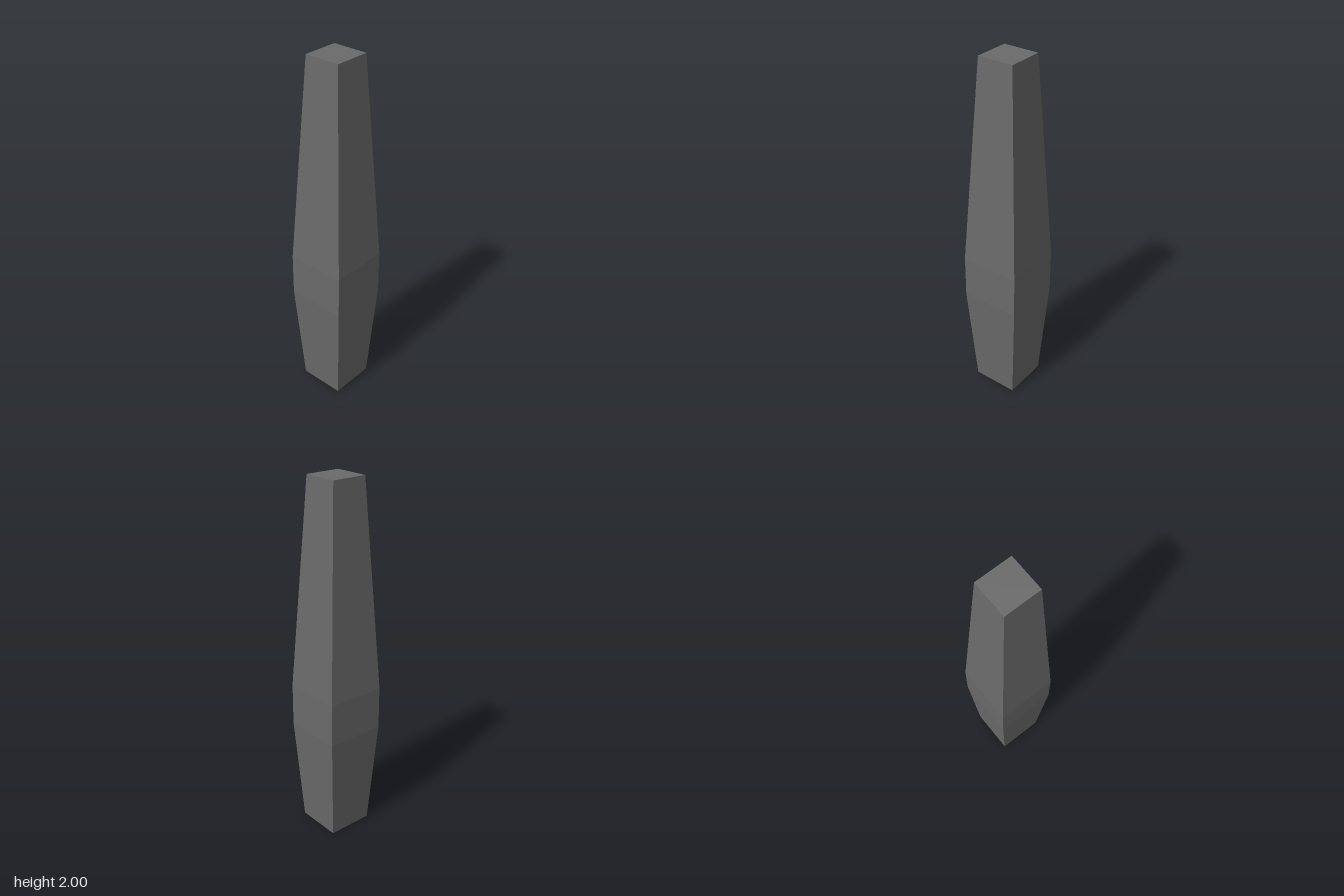
import * as THREE from 'three';

export function createModel() {
  const group = new THREE.Group();
  group.name = 'taperedPost';

  // Half-width and height of each square section, bottom to top
  const sections = [[0.13, 0], [0.169, 0.61], [0.169, 0.85], [0.101, 2]];
  const corner = ([half, y]) => new THREE.Vector2(half * Math.SQRT2, y);
  const profile = [new THREE.Vector2(0, 0), ...sections.map(corner), new THREE.Vector2(0, 2)];

  // Four-sided lathe, turned so the flat sides face the axes, closed at both ends
  const geometry = new THREE.LatheGeometry(profile, 4, Math.PI / 4);
  const material = new THREE.MeshStandardMaterial({ color: 0x6a6a6a, flatShading: true });
  const post = new THREE.Mesh(geometry, material);
  post.name = 'post';
  group.add(post);

  return group;
}
